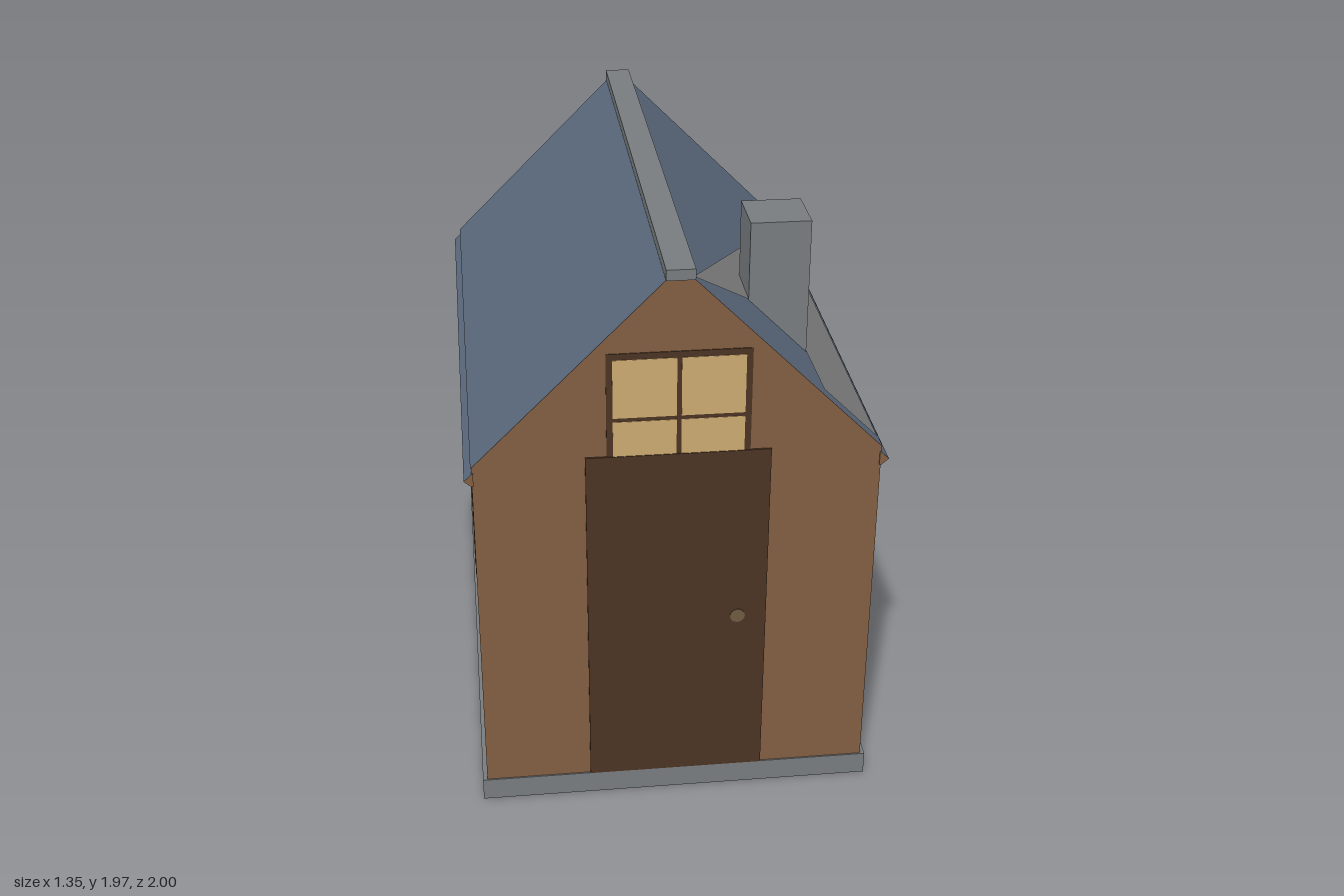
import * as THREE from 'three';

const mat = (name, color, side = THREE.FrontSide) => {
  const m = new THREE.MeshStandardMaterial({ color, side });
  m.name = name;
  return m;
};

export function createModel() {
  const house = new THREE.Group();
  house.name = 'house';

  const brown = mat('brown wall', 0x825e42);
  const stone = mat('grey stone', 0x777c7e);
  const blue = mat('slate blue', 0x5a697b, THREE.DoubleSide);
  const patchGrey = mat('patch grey', 0x808080, THREE.DoubleSide);
  const dark = mat('dark wood', 0x4b3423);
  const glass = mat('warm glass', 0xccaa70);
  const brass = mat('dull brass', 0x6e5a40);

  const add = (parent, name, geometry, material, x = 0, y = 0, z = 0) => {
    const mesh = new THREE.Mesh(geometry, material);
    mesh.name = name;
    mesh.position.set(x, y, z);
    parent.add(mesh);
    return mesh;
  };
  const box = (parent, name, material, w, h, d, x, y, z) =>
    add(parent, name, new THREE.BoxGeometry(w, h, d), material, x, y, z);
  const outline = (points) => new THREE.Shape(points.map(([x, y]) => new THREE.Vector2(x, y)));
  // Extrude an x/y profile along the length of the house
  const prism = (name, points, half, material) =>
    add(house, name, new THREE.ExtrudeGeometry(outline(points), { depth: 2 * half, bevelEnabled: false }),
      material, 0, 0, -half);
  // Lay an outline given as x, z on the 45 degree roof slopes
  const roofFace = (name, points, lift, material) => {
    const g = new THREE.ShapeGeometry(outline(points.map(([x, z]) => [x, -z])));
    const p = g.attributes.position;
    for (let i = 0; i < p.count; i++) {
      const x = p.getX(i), z = -p.getY(i);
      p.setXYZ(i, x, 1.96 - Math.abs(x) + lift, z);
    }
    g.computeVertexNormals();
    return add(house, name, g, material);
  };

  // Plinth, walls with gables, ridge and chimney
  box(house, 'plinth', stone, 1.33, 0.08, 1.98, 0, 0.04, 0);
  prism('walls', [[-0.65, 0.08], [0.65, 0.08], [0.65, 1.31], [0.04, 1.92], [-0.04, 1.92], [-0.65, 1.31]],
    0.985, brown);
  box(house, 'ridgeCap', stone, 0.09, 0.035, 2, 0, 1.9375, 0);
  box(house, 'chimney', stone, 0.195, 0.465, 0.195, 0.3575, 1.7325, 0.5875);

  // Roof slopes and eave mouldings on both sides
  for (const s of [-1, 1]) {
    roofFace('roofSlope', [[s * 0.035, -0.99], [s * 0.653, -0.99], [s * 0.653, 0.99], [s * 0.035, 0.99]],
      0.002, blue);
    prism('eaveMoulding', [[s * 0.645, 1.245], [s * 0.652, 1.245], [s * 0.675, 1.265], [s * 0.65, 1.29], [s * 0.645, 1.29]],
      0.99, [brown, blue]);
  }

  // Grey area on the chimney slope
  roofFace('roofPatch', [[0.04, 0.985], [0.64, -0.86], [0.645, 0.94], [0.465, 0.94], [0.455, 0.685], [0.26, 0.685]],
    0.005, patchGrey);

  // Four-paned window, facing +z before it is turned
  const addWindow = (name, x, y, z, turn) => {
    const w = new THREE.Group();
    w.name = name;
    w.position.set(x, y, z);
    w.rotation.y = turn;
    box(w, 'windowFrame', dark, 0.455, 0.455, 0.006, 0, 0, 0);
    for (const i of [-1, 1]) for (const j of [-1, 1])
      box(w, 'windowPane', glass, 0.2, 0.2, 0.008, i * 0.1075, j * 0.1065, 0.0005);
    house.add(w);
  };
  for (const s of [-1, 1]) {
    for (const z of [-0.355, 0.36]) addWindow('sideWindow', s * 0.65, 0.887, z, s * Math.PI / 2);

    // Gable ends: window, door and knob, alike at front and back
    addWindow('gableWindow', 0, 1.453, s * 0.985, s > 0 ? 0 : Math.PI);
    box(house, 'door', dark, 0.59, 1.245, 0.009, 0, 0.7025, s * 0.9875);
    const knob = add(house, 'doorKnob', new THREE.CylinderGeometry(0.025, 0.025, 0.004, 16), brass,
      0.2, 0.7, s * 0.993);
    knob.rotation.x = Math.PI / 2;
  }
  return house;
}
